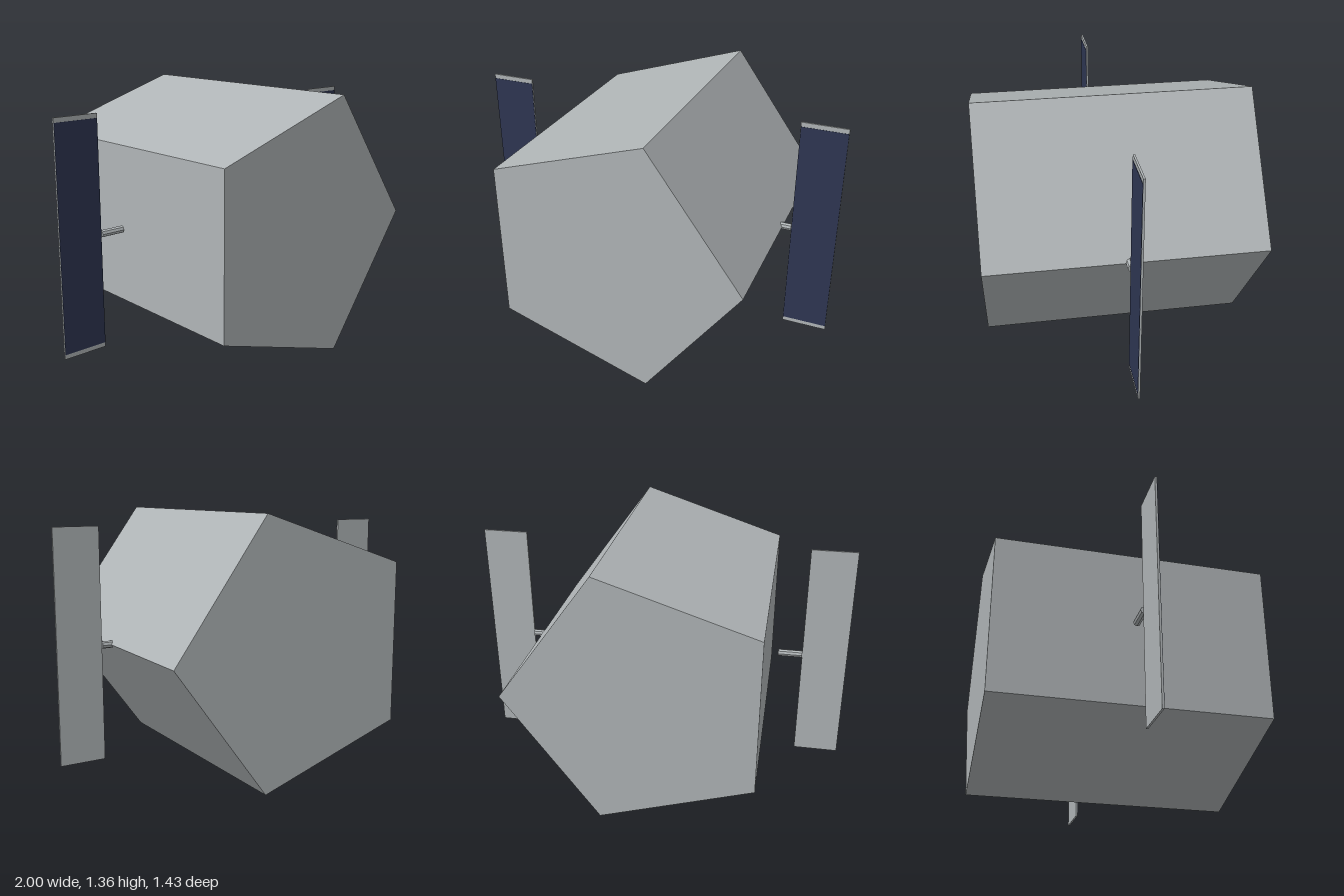
import * as THREE from 'three';

export function createModel() {
  const model = new THREE.Group();
  model.name = 'satellite';

  const hullGrey = new THREE.MeshStandardMaterial({ color: 0xb0b5b7, flatShading: true });
  hullGrey.name = 'hull grey';
  const cellNavy = new THREE.MeshStandardMaterial({ color: 0x2e3652, flatShading: true });
  cellNavy.name = 'solar cell navy';

  const axisY = 0.68;
  const add = (parent, name, geometry, material, x, y, z) => {
    const mesh = new THREE.Mesh(geometry, material);
    mesh.name = name;
    mesh.position.set(x, y, z);
    parent.add(mesh);
  };

  // Five-sided hull lying along z, with one corner pointing to +x
  const hull = new THREE.CylinderGeometry(0.714, 0.714, 1.428, 5, 1, false, Math.PI / 2);
  hull.rotateX(Math.PI / 2);
  add(model, 'hull', hull, hullGrey, 0, axisY, 0);

  // A strut and a solar panel on each side, cells on the front only
  for (const side of [1, -1]) {
    const wing = new THREE.Group();
    wing.name = side > 0 ? 'leftWing' : 'rightWing';
    const strut = new THREE.CylinderGeometry(0.019, 0.019, 0.13, 8);
    strut.rotateZ(Math.PI / 2);
    add(wing, 'strut', strut, hullGrey, side * 0.695, axisY, 0);
    add(wing, 'panel', new THREE.BoxGeometry(0.24, 1.214, 0.01), hullGrey, side * 0.88, axisY, 0);
    add(wing, 'solarCells', new THREE.BoxGeometry(0.238, 1.166, 0.002), cellNavy, side * 0.88, axisY, 0.0055);
    model.add(wing);
  }
  return model;
}
